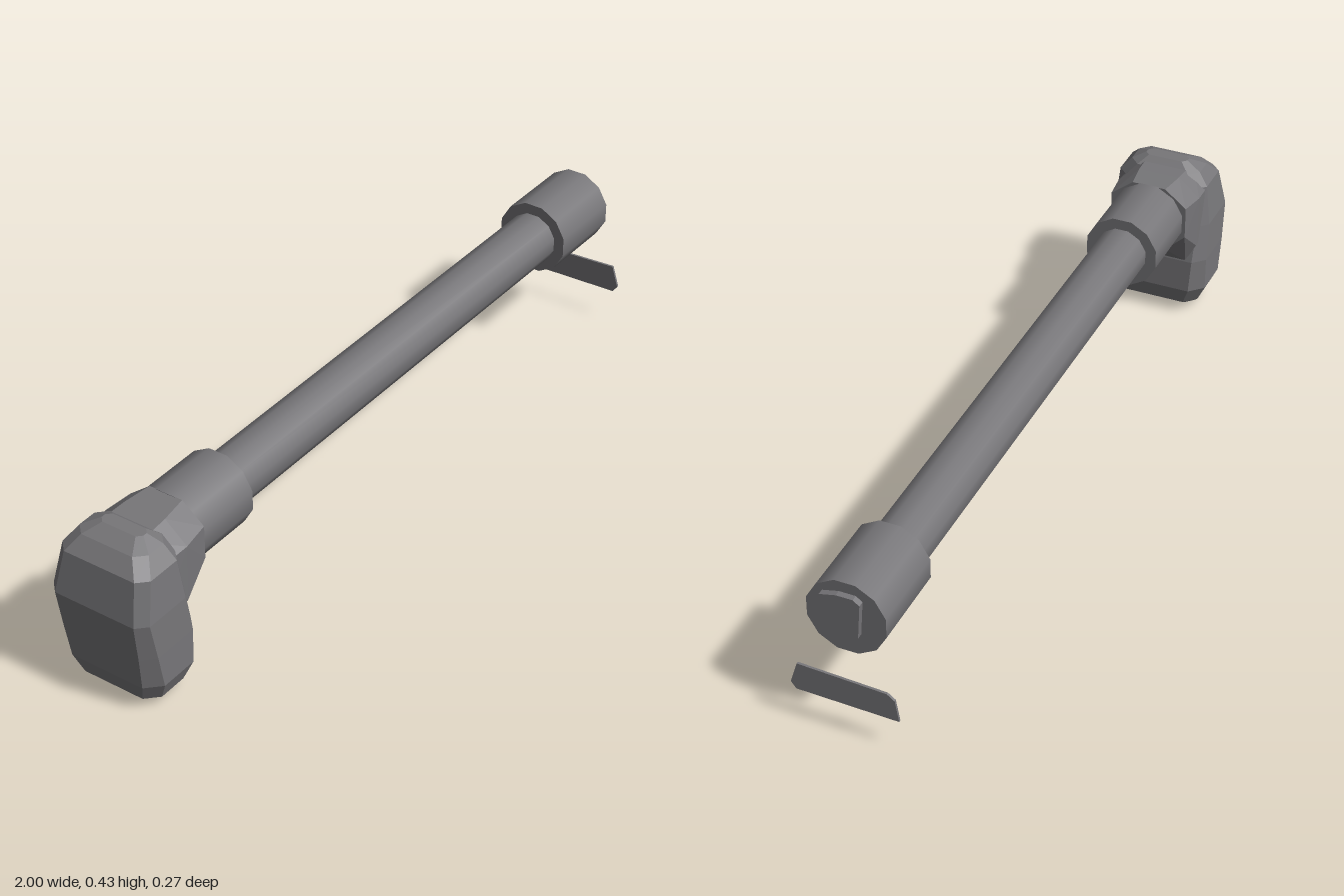
import * as THREE from 'three';
import { ConvexGeometry } from 'three/addons/geometries/ConvexGeometry.js';

const AXIS_Y = 0.323, AXIS_Z = -0.004;

// Faceted solid from [y, xMin, xMax, zMin, zMax, chamfer] sections, bottom to top
function loft(sections) {
  const rings = sections.map(([y, x0, x1, z0, z1, c]) => [
    [x1, y, z0 + c], [x1, y, z1 - c], [x1 - c, y, z1], [x0 + c, y, z1],
    [x0, y, z1 - c], [x0, y, z0 + c], [x0 + c, y, z0], [x1 - c, y, z0],
  ]);
  const pos = [];
  const tri = (...pts) => pts.forEach((p) => pos.push(...p));
  const n = 8, first = rings[0], last = rings[rings.length - 1];
  for (let j = 0; j < n; j++) {
    const k = (j + 1) % n;
    for (let i = 0; i < rings.length - 1; i++) {
      const a = rings[i], b = rings[i + 1];
      tri(a[j], b[j], a[k]);
      tri(a[k], b[j], b[k]);
    }
    if (j > 0 && j < n - 1) {
      tri(first[0], first[j], first[k]);
      tri(last[0], last[k], last[j]);
    }
  }
  const geo = new THREE.BufferGeometry();
  geo.setAttribute('position', new THREE.Float32BufferAttribute(pos, 3));
  geo.computeVertexNormals();
  return geo;
}

// Flat outline given as [z, y] points, extruded along x
function plate(points, x0, x1) {
  const shape = new THREE.Shape(points.map(([z, y]) => new THREE.Vector2(-z, y)));
  const geo = new THREE.ExtrudeGeometry(shape, { depth: x1 - x0, bevelEnabled: false });
  return geo.rotateY(Math.PI / 2).translate(x0, 0, 0);
}

// Twelve-sided bar along x with flats on top and bottom
function bar(radius, x0, x1) {
  const geo = new THREE.CylinderGeometry(radius, radius, x1 - x0, 12, 1, false, Math.PI / 12);
  return geo.rotateZ(Math.PI / 2).translate((x0 + x1) / 2, AXIS_Y, AXIS_Z);
}

export function createModel() {
  const group = new THREE.Group();
  const grey = new THREE.MeshStandardMaterial({ color: 0x777679 });
  grey.name = 'dark grey';
  const add = (name, geo) => {
    const mesh = new THREE.Mesh(geo, grey);
    mesh.name = name;
    group.add(mesh);
  };

  // Rod and its two collars
  add('rod', bar(0.068, -0.56, 0.78));
  add('innerCollar', bar(0.097, -0.74, -0.553));
  add('outerCollar', bar(0.097, 0.77, 0.985));

  // Raised pad on the end of the outer collar
  add('endPad', plate([[0.05, 0.38], [0.01, 0.39], [-0.03, 0.39], [-0.045, 0.378],
    [-0.038, 0.287], [0.025, 0.28], [0.052, 0.303]], 0.98, 1));

  // Loose thin plate below the end
  add('lowerPlate', plate([[0.115, 0.162], [-0.1, 0.152], [-0.118, 0.138],
    [-0.127, 0.082], [0.12, 0.088], [0.133, 0.105]], 0.994, 1));

  // Curved faceted grip
  add('grip', loft([
    [0.0, -0.925, -0.86, -0.09, 0.08, 0.015],
    [0.025, -0.955, -0.82, -0.11, 0.113, 0.03],
    [0.075, -0.972, -0.802, -0.134, 0.134, 0.035],
    [0.165, -0.985, -0.805, -0.135, 0.135, 0.03],
    [0.265, -1.0, -0.828, -0.133, 0.134, 0.025],
    [0.37, -0.978, -0.84, -0.118, 0.125, 0.025],
    [0.405, -0.945, -0.845, -0.095, 0.095, 0.025],
    [0.425, -0.905, -0.87, -0.055, 0.06, 0.012],
  ]));

  // Neck tapering from the grip to the inner collar
  const neck = [];
  const section = (x, pts) => pts.forEach(([y, z]) => {
    neck.push(new THREE.Vector3(x, y, z + AXIS_Z), new THREE.Vector3(x, y, AXIS_Z - z));
  });
  section(-0.9, [[0.41, 0.06], [0.36, 0.11], [0.22, 0.11], [0.16, 0.08]]);
  section(-0.81, [[0.414, 0.055], [0.365, 0.113], [0.22, 0.11], [0.165, 0.082]]);
  section(-0.738, [[0.416, 0.045], [0.37, 0.103], [0.285, 0.103], [0.235, 0.05]]);
  add('neck', new ConvexGeometry(neck));

  return group;
}
